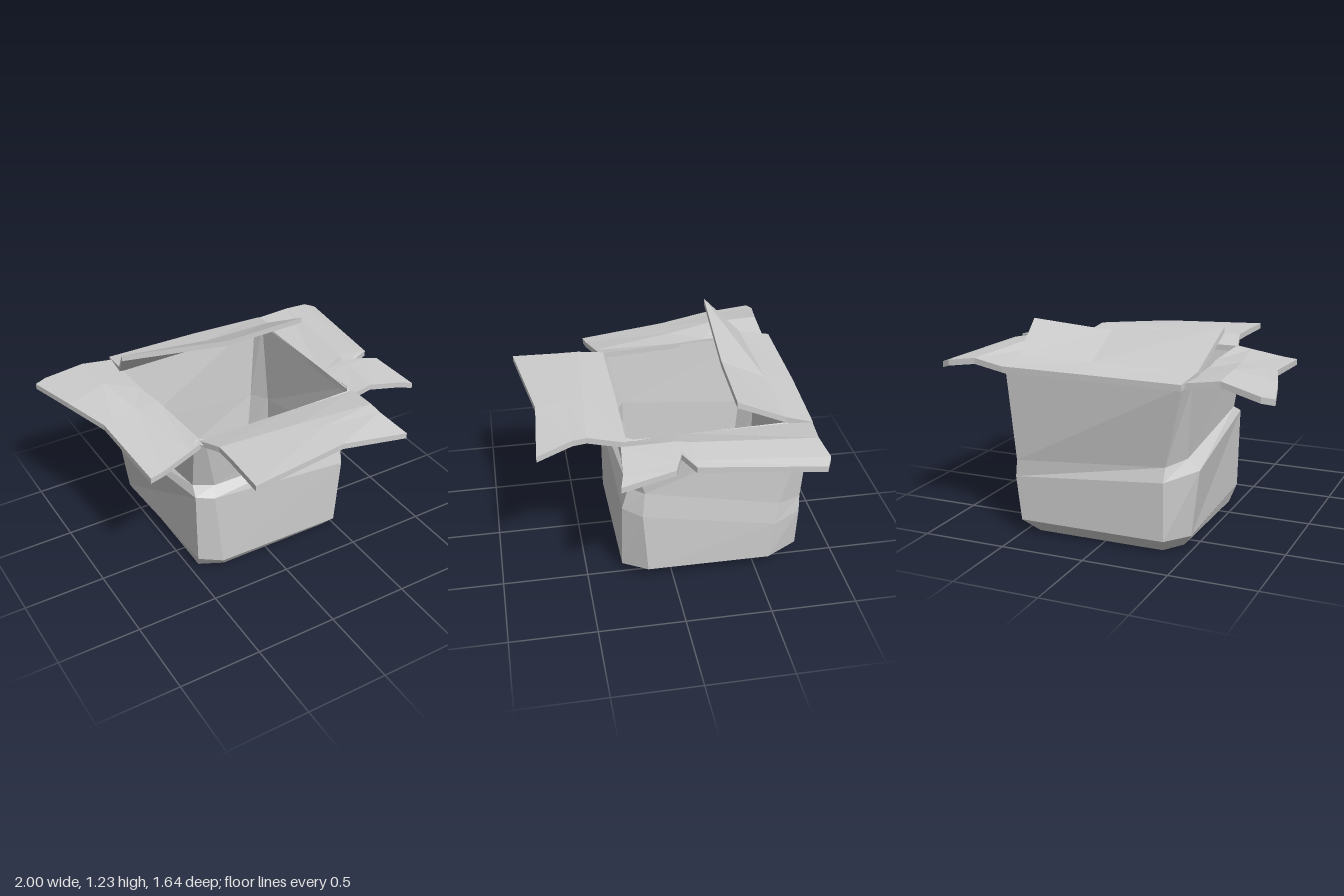
import * as THREE from 'three';

const card = new THREE.MeshStandardMaterial({ color: 0xcccccc, flatShading: true, side: THREE.DoubleSide });
card.name = 'greyCard';

// Flat-shaded mesh from a list of triangles of [x, y, z] corners
function meshFrom(name, corners) {
  const geometry = new THREE.BufferGeometry();
  geometry.setAttribute('position', new THREE.Float32BufferAttribute(corners.flat(), 3));
  geometry.computeVertexNormals();
  const mesh = new THREE.Mesh(geometry, card);
  mesh.name = name;
  return mesh;
}

const quad = (a, b, c, d) => [a, b, c, a, c, d];

// Walls between successive closed rings
function loft(rings) {
  const out = [];
  for (let r = 0; r + 1 < rings.length; r++) {
    const lo = rings[r], hi = rings[r + 1], n = lo.length;
    for (let i = 0; i < n; i++) {
      const j = (i + 1) % n;
      out.push(...quad(lo[i], lo[j], hi[j], hi[i]));
    }
  }
  return out;
}

// Fan that closes a ring
function cap(ring, up) {
  const out = [];
  for (let i = 1; i + 1 < ring.length; i++) {
    out.push(ring[0], ...(up ? [ring[i], ring[i + 1]] : [ring[i + 1], ring[i]]));
  }
  return out;
}

// Bent slab: a grid of top points, thickened downwards
function slab(name, rows, thickness = 0.035) {
  const [a, b] = rows[0], c = rows[1][0];
  const ny = (b[2] - a[2]) * (c[0] - a[0]) - (b[0] - a[0]) * (c[2] - a[2]);
  const top = ny < 0 ? rows.map((row) => [...row].reverse()) : rows;
  const low = top.map((row) => row.map(([x, y, z]) => [x, y - thickness, z]));
  const out = [], R = top.length - 1, C = top[0].length - 1;
  for (let r = 0; r < R; r++) {
    for (let k = 0; k < C; k++) {
      out.push(...quad(top[r][k], top[r][k + 1], top[r + 1][k + 1], top[r + 1][k]));
      out.push(...quad(low[r][k], low[r + 1][k], low[r + 1][k + 1], low[r][k + 1]));
    }
    out.push(...quad(top[r][0], top[r + 1][0], low[r + 1][0], low[r][0]));
    out.push(...quad(top[r + 1][C], top[r][C], low[r][C], low[r + 1][C]));
  }
  for (let k = 0; k < C; k++) {
    out.push(...quad(top[0][k + 1], top[0][k], low[0][k], low[0][k + 1]));
    out.push(...quad(top[R][k], top[R][k + 1], low[R][k + 1], low[R][k]));
  }
  return meshFrom(name, out);
}

export function createModel() {
  const group = new THREE.Group();
  group.name = 'batteredBox';

  // Eight-cornered outlines from the base, past the dented crease, to the rim
  const base = [[-0.3, 0, 0.25], [0.42, 0, 0.25], [0.5, 0.02, 0.1], [0.5, 0.01, -0.55],
    [0.42, 0, -0.7], [-0.35, 0, -0.7], [-0.44, 0.01, -0.6], [-0.44, 0, 0.18]];
  const foot = [[-0.33, 0.07, 0.3], [0.49, 0.05, 0.29], [0.61, 0.08, 0.15], [0.6, 0.07, -0.58],
    [0.5, 0.08, -0.77], [-0.38, 0.08, -0.77], [-0.5, 0.09, -0.65], [-0.47, 0.1, 0.24]];
  const ledge = [[-0.38, 0.57, 0.3], [0.525, 0.48, 0.29], [0.6, 0.46, 0.18], [0.6, 0.31, -0.61],
    [0.53, 0.34, -0.77], [-0.38, 0.42, -0.77], [-0.55, 0.48, -0.66], [-0.48, 0.58, 0.25]];
  const crease = [[-0.35, 0.62, 0.245], [0.52, 0.62, 0.25], [0.585, 0.61, 0.165], [0.585, 0.45, -0.63],
    [0.52, 0.44, -0.77], [-0.38, 0.5, -0.74], [-0.48, 0.54, -0.66], [-0.46, 0.62, 0.18]];
  const rim = [[-0.43, 0.97, 0.3], [0.59, 0.96, 0.29], [0.62, 0.96, 0.25], [0.58, 0.96, -0.72],
    [0.56, 0.96, -0.79], [-0.5, 0.97, -0.8], [-0.53, 0.97, -0.74], [-0.49, 0.97, 0.27]];

  // Inner skin is the outline drawn in towards the middle
  const inset = (ring, s, y) => ring.map((p) =>
    [0.04 + (p[0] - 0.04) * s, y ?? p[1], -0.25 + (p[2] + 0.25) * s]);
  const floor = inset(foot, 0.84, 0.06);
  group.add(meshFrom('boxBody', [
    ...cap(base, false),
    ...loft([base, foot, ledge, crease, rim, inset(rim, 0.94, 0.98), inset(crease, 0.92), floor]),
    ...cap(floor, true),
  ]));

  // Four bent flaps, each listed as rows of fold points
  group.add(slab('frontFlap', [
    [[-0.45, 0.98, 0.26], [0.1, 0.98, 0.26], [0.6, 0.975, 0.26]],
    [[-0.41, 1.02, 0.42], [0.1, 1.02, 0.45], [0.57, 1.01, 0.48]],
    [[-0.41, 1.02, 0.55], [0.18, 1.02, 0.55], [0.57, 1, 0.56]],
    [[-0.42, 1.02, 0.82], [0.2, 1.01, 0.73], [0.62, 0.95, 0.76]],
  ]));
  group.add(slab('leftFlap', [
    [[0.56, 0.98, -0.79], [0.78, 1.01, -0.76], [0.94, 0.99, -0.78], [1, 0.97, -0.75]],
    [[0.57, 0.98, -0.07], [0.72, 1.02, -0.06], [0.87, 1, -0.06], [0.92, 0.99, -0.06]],
    [[0.57, 0.98, 0], [0.7, 1.02, 0], [0.77, 1.01, 0], [0.8, 1, 0]],
    [[0.57, 0.98, 0.05], [0.7, 1.02, 0.05], [0.87, 1, 0.03], [0.93, 0.99, 0.05]],
    [[0.58, 0.97, 0.29], [0.69, 1.01, 0.31], [0.9, 0.97, 0.33], [0.98, 0.95, 0.35]],
  ]));
  group.add(slab('rightFlap', [
    [[-0.5, 0.99, -0.78], [-0.7, 1.02, -0.78], [-0.93, 0.97, -0.82], [-1, 0.96, -0.8]],
    [[-0.5, 0.99, -0.4], [-0.68, 1.02, -0.5], [-0.86, 0.98, -0.48], [-0.92, 0.97, -0.48]],
    [[-0.47, 0.99, -0.2], [-0.62, 0.99, -0.2], [-0.77, 0.97, -0.2], [-0.83, 0.96, -0.18]],
    [[-0.44, 0.98, 0.28], [-0.53, 0.96, 0.3], [-0.72, 0.92, 0.34], [-0.8, 0.91, 0.35]],
  ]));
  group.add(slab('backFlap', [
    [[-0.5, 0.99, -0.82], [0.1, 0.99, -0.81], [0.58, 0.985, -0.79]],
    [[-0.52, 1.02, -0.63], [0.1, 1.02, -0.64], [0.56, 1.02, -0.64]],
    [[-0.59, 1.23, -0.41], [0.1, 1.15, -0.37], [0.62, 1.18, -0.34]],
  ]));
  return group;
}
